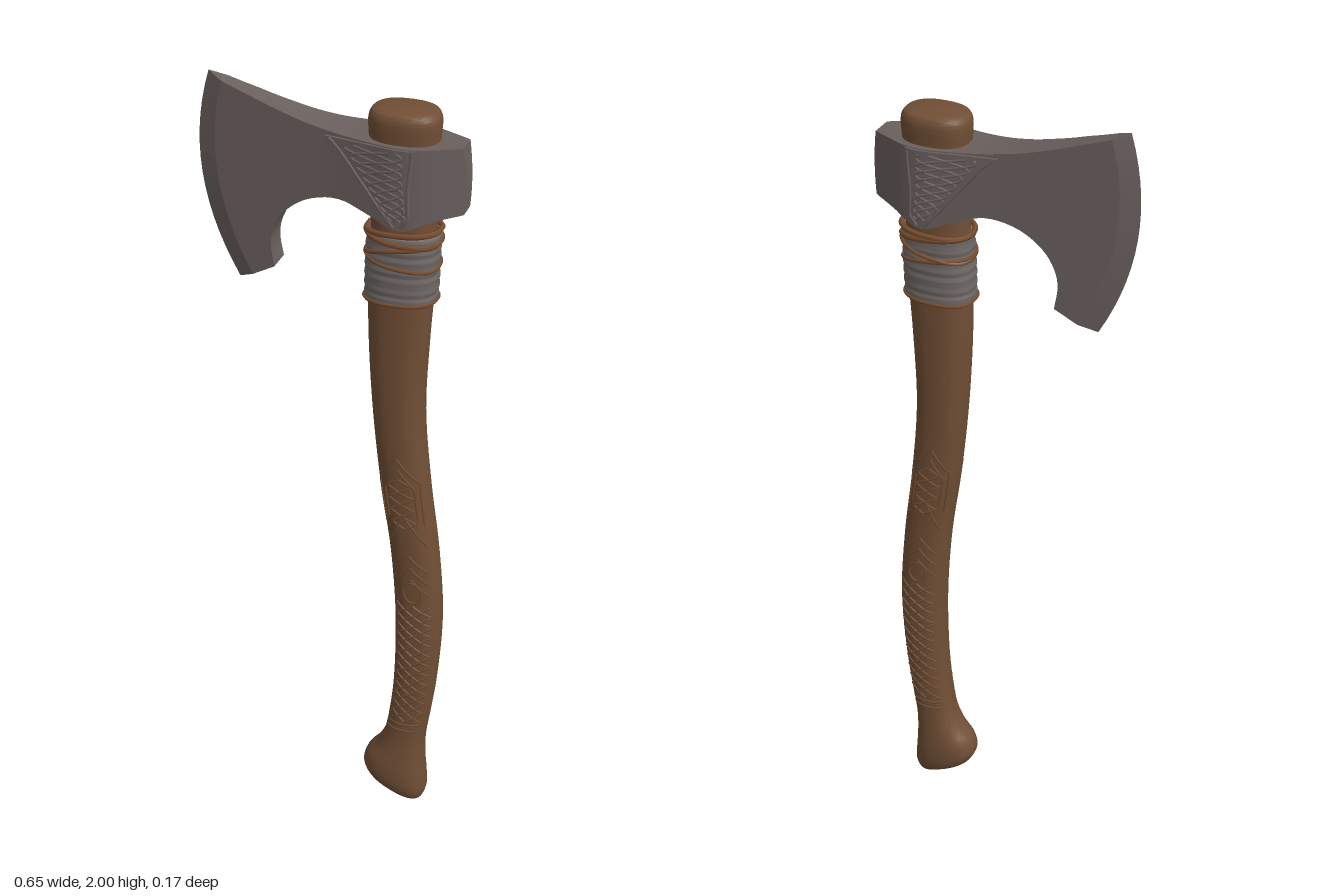
import * as THREE from 'three';
import { toCreasedNormals } from 'three/addons/utils/BufferGeometryUtils.js';

const V = (x, y, z = 0) => new THREE.Vector3(x, y, z);
const lerp = THREE.MathUtils.lerp;
const mat = (name, color) => Object.assign(new THREE.MeshStandardMaterial({ color }), { name });

// Skin a list of closed rings; optionally cap both ends
function loft(rings, capStart, capEnd, crease) {
  const n = rings[0].length, pts = rings.flat(), idx = [];
  for (let i = 0; i < rings.length - 1; i++) {
    for (let j = 0; j < n; j++) {
      const a = i * n + j, b = i * n + (j + 1) % n;
      idx.push(a, a + n, b, b, a + n, b + n);
    }
  }
  const cap = (row, flip) => {
    const c = pts.length, o = row * n;
    pts.push(rings[row].reduce((s, p) => s.add(p), V(0, 0)).divideScalar(n));
    for (let j = 0; j < n; j++) {
      const a = o + j, b = o + (j + 1) % n;
      if (flip) idx.push(c, b, a); else idx.push(c, a, b);
    }
  };
  if (capStart) cap(0, false);
  if (capEnd) cap(rings.length - 1, true);
  const g = new THREE.BufferGeometry().setFromPoints(pts);
  g.setIndex(idx);
  return toCreasedNormals(g, crease);
}

// Piecewise linear lookup in [key, value] pairs
function lookup(table, x) {
  if (x <= table[0][0]) return table[0][1];
  for (let i = 1; i < table.length; i++) {
    const [x0, y0] = table[i - 1], [x1, y1] = table[i];
    if (x <= x1) return lerp(y0, y1, (x - x0) / (x1 - x0));
  }
  return table[table.length - 1][1];
}

// Haft stations: left x, left y, right x, right y, half depth
const stations = [
  [.13, .052, .23, .01, .03], [.107, .066, .25, .001, .047], [.092, .1, .263, .028, .058],
  [.1, .135, .262, .075, .06], [.13, .175, .257, .13, .056], [.15, .22, .257, .2, .051],
  [.163, .3, .27, .3, .05], [.172, .4, .282, .4, .052], [.173, .6, .292, .6, .054],
  [.157, .8, .277, .8, .054], [.127, 1, .25, 1, .055], [.105, 1.2, .232, 1.2, .056],
  [.092, 1.4, .238, 1.4, .056], [.09, 1.55, .247, 1.55, .056], [.095, 1.75, .25, 1.75, .055],
  [.088, 1.9, .251, 1.9, .06], [.087, 1.955, .252, 1.955, .062], [.095, 1.97, .244, 1.97, .056],
  [.115, 1.976, .225, 1.976, .042]];
const leftLine = new THREE.CatmullRomCurve3(stations.map(s => V(s[0], s[1], s[4])));
const rightLine = new THREE.CatmullRomCurve3(stations.map(s => V(s[2], s[3], s[4])));
const POW = 2.4;

// Rounded cross-section point of the haft at curve parameter t and angle a
function haftPoint(t, a, grow = 0) {
  const l = leftLine.getPoint(t), r = rightLine.getPoint(t);
  const bend = v => Math.sign(v) * Math.abs(v) ** (2 / POW);
  const c = bend(Math.cos(a)), s = bend(Math.sin(a)), k = 1 + grow / (r.x - l.x) * 2;
  return V((l.x + r.x) / 2 + c * k * (r.x - l.x) / 2, (l.y + r.y) / 2 + c * (r.y - l.y) / 2, s * (l.z + grow));
}
// Curve parameter at a given height
function haftT(y) {
  let lo = 0, hi = 1;
  for (let i = 0; i < 30; i++) {
    const m = (lo + hi) / 2;
    if (leftLine.getPoint(m).y < y) lo = m; else hi = m;
  }
  return lo;
}
const ring = (t, grow, n = 40) => Array.from({ length: n }, (_, j) => haftPoint(t, j / n * Math.PI * 2, grow));
// Point on the front (side 1) or back (side -1) face, s across from -1 to 1
function haftFace(s, y, side) {
  const t = haftT(y), l = leftLine.getPoint(t), r = rightLine.getPoint(t);
  return V(lerp(l.x, r.x, (s + 1) / 2), y, side * l.z * (1 - Math.abs(s) ** POW) ** (1 / POW));
}

// Half thickness of the head along x
const thickness = [[-.33, .012], [-.275, .018], [0, .047], [.1, .064], [.16, .076], [.2, .076], [.23, .068], [.31, .03], [.325, .02]];
const headZ = x => lookup(thickness, x);

// Head columns from cutting edge to poll: bottom x, y, top x, y, bow
const columns = [
  [-.235, 1.49, -.3, 2, .056], [-.193, 1.513, -.262, 1.985, .05], [-.136, 1.545, -.22, 1.971, .045],
  [-.144, 1.6, -.19, 1.962, .03], [-.138, 1.64, -.16, 1.952, .02], [-.11, 1.69, -.12, 1.94, .01],
  [-.05, 1.735, -.05, 1.922, 0], [.03, 1.752, .03, 1.91, 0], [.1, 1.732, .1, 1.906, 0],
  [.18, 1.705, .18, 1.905, 0], [.25, 1.73, .25, 1.905, 0], [.318, 1.745, .312, 1.905, -.006]];

function headGeometry() {
  const low = new THREE.CatmullRomCurve3(columns.slice(2).map(c => V(c[0], c[1], c[4])));
  const top = new THREE.CatmullRomCurve3(columns.slice(2).map(c => V(c[2], c[3])));
  const cols = columns.slice(0, 2);
  for (let i = 0; i <= 45; i++) {
    const b = low.getPoint(i / 45), t = top.getPoint(i / 45);
    cols.push([b.x, b.y, t.x, t.y, b.z]);
  }
  const n = 14;
  return loft(cols.map((c, i) => {
    const front = [], back = [];
    for (let k = 0; k <= n; k++) {
      const v = k / n, x = lerp(c[0], c[2], v) - c[4] * 4 * v * (1 - v), y = lerp(c[1], c[3], v);
      const z = i === 0 ? .0006 : headZ(x);
      front.push(V(x, y, z));
      back.unshift(V(x, y, -z));
    }
    return front.concat(back);
  }), false, true, .2);
}

// Edges of the raised cheek panel by height
const panelLeft = y => lookup([[1.712, .172], [1.765, .124], [1.84, .06], [1.88, .025], [1.903, -.003]], y);
const panelRight = y => lookup([[1.712, .185], [1.74, .205], [1.81, .205], [1.87, .212], [1.903, .215]], y);

function panelGeometry() {
  const rings = [];
  for (let i = 0; i <= 16; i++) {
    const y = lerp(1.712, 1.903, i / 16), front = [], back = [];
    for (let k = 0; k <= 14; k++) {
      const x = lerp(panelRight(y), panelLeft(y), k / 14), z = headZ(x) + .006;
      front.push(V(x, y, z));
      back.unshift(V(x, y, -z));
    }
    rings.push(front.concat(back));
  }
  return loft(rings, true, true, .5);
}

export function createModel() {
  const group = new THREE.Group();
  const wood = mat('wood', 0x714f35), metal = mat('steel', 0x6a605e);
  const cloth = mat('clothWrap', 0x706a67), leather = mat('leatherStrap', 0x7a4e2e);
  const add = (name, geo, m) => {
    const mesh = new THREE.Mesh(geo, m);
    mesh.name = name;
    group.add(mesh);
  };
  const tube = (name, pts, r, m, closed = false) => add(name,
    new THREE.TubeGeometry(new THREE.CatmullRomCurve3(pts, closed), pts.length * 2, r, 5, closed), m);

  // Haft
  add('haft', loft(Array.from({ length: 109 }, (_, i) => ring(i / 108, 0)), true, true, .7), wood);

  // Axe head with raised cheek panels
  add('axeHead', headGeometry(), metal);
  add('cheekPanel', panelGeometry(), metal);

  for (const side of [1, -1]) {
    // Interlaced strands and border on the cheek panel
    const onPanel = (a, y) => {
      const x = lerp(panelLeft(y), panelRight(y), a);
      return V(x, y, side * (headZ(x) + .006));
    };
    for (let p = 0; p < 4; p++) {
      tube('panelKnot', Array.from({ length: 41 }, (_, i) => {
        const y = lerp(1.73, 1.893, i / 40);
        return onPanel(.5 + .36 * Math.sin(y * 75 + p * Math.PI / 2), y);
      }), .0035, metal);
    }
    for (const a of [.03, .97]) {
      tube('panelBorder', Array.from({ length: 16 }, (_, i) => onPanel(a, lerp(1.716, 1.9, i / 15))), .004, metal);
    }

    // Carved relief lines on the haft
    const carve = (...corners) => {
      const pts = [];
      for (let i = 0; i < corners.length - 1; i++) {
        for (let k = 0; k < 6; k++) {
          const [s0, y0] = corners[i], [s1, y1] = corners[i + 1];
          pts.push(haftFace(lerp(s0, s1, k / 6), lerp(y0, y1, k / 6), side));
        }
      }
      pts.push(haftFace(...corners[corners.length - 1], side));
      tube('haftCarving', pts, .003, wood);
    };
    const wave = (y0, y1, turns, phase, amp) => carve(...Array.from({ length: turns * 4 + 1 }, (_, i) =>
      [amp * Math.sin(i * Math.PI / 2 + phase), lerp(y0, y1, i / (turns * 4))]));
    // Pointed hood with knot
    carve([-.8, .9], [-.8, 1.02], [0, 1.09], [.8, 1.02], [.8, .9]);
    carve([-.6, .92], [-.6, 1.005], [0, 1.06], [.6, 1.005], [.6, .92]);
    wave(.89, 1.03, 2, 0, .5);
    wave(.89, 1.03, 2, Math.PI, .5);
    carve([-.8, .84], [0, .93], [.8, .84]);
    // Chevrons and ring knot
    for (const y of [.81, .775, .74]) carve([-.75, y - .05], [0, y], [.75, y - .05]);
    carve(...Array.from({ length: 13 }, (_, i) =>
      [.4 * Math.cos(i * Math.PI / 6), .7 + .03 * Math.sin(i * Math.PI / 6)]));
    // Lattice and bottom border
    for (let p = 0; p < 4; p++) wave(.28, .66, 3, p * Math.PI / 2, .75);
    for (const y of [.25, .27]) carve([-.8, y], [.8, y]);
  }

  // Cloth binding below the head
  add('clothBinding', loft(Array.from({ length: 49 }, (_, i) => {
    const u = i / 48, edge = i === 0 || i === 48 ? -.006 : 0;
    return ring(haftT(lerp(1.505, 1.68, u)), .007 + .003 * Math.abs(Math.sin(u * Math.PI * 7)) + edge);
  }), true, true, .7), cloth);

  // Leather straps: height, tilt, thickness
  for (const [y, tilt, r] of [[1.508, .003, .005], [1.61, -.014, .005], [1.638, .022, .006], [1.668, -.01, .007], [1.684, .006, .007]]) {
    tube('leatherStrap', Array.from({ length: 32 }, (_, j) => {
      const a = j / 32 * Math.PI * 2;
      return haftPoint(haftT(y + tilt * Math.cos(a - .5)), a, .009);
    }), r, leather, true);
  }
  return group;
}
